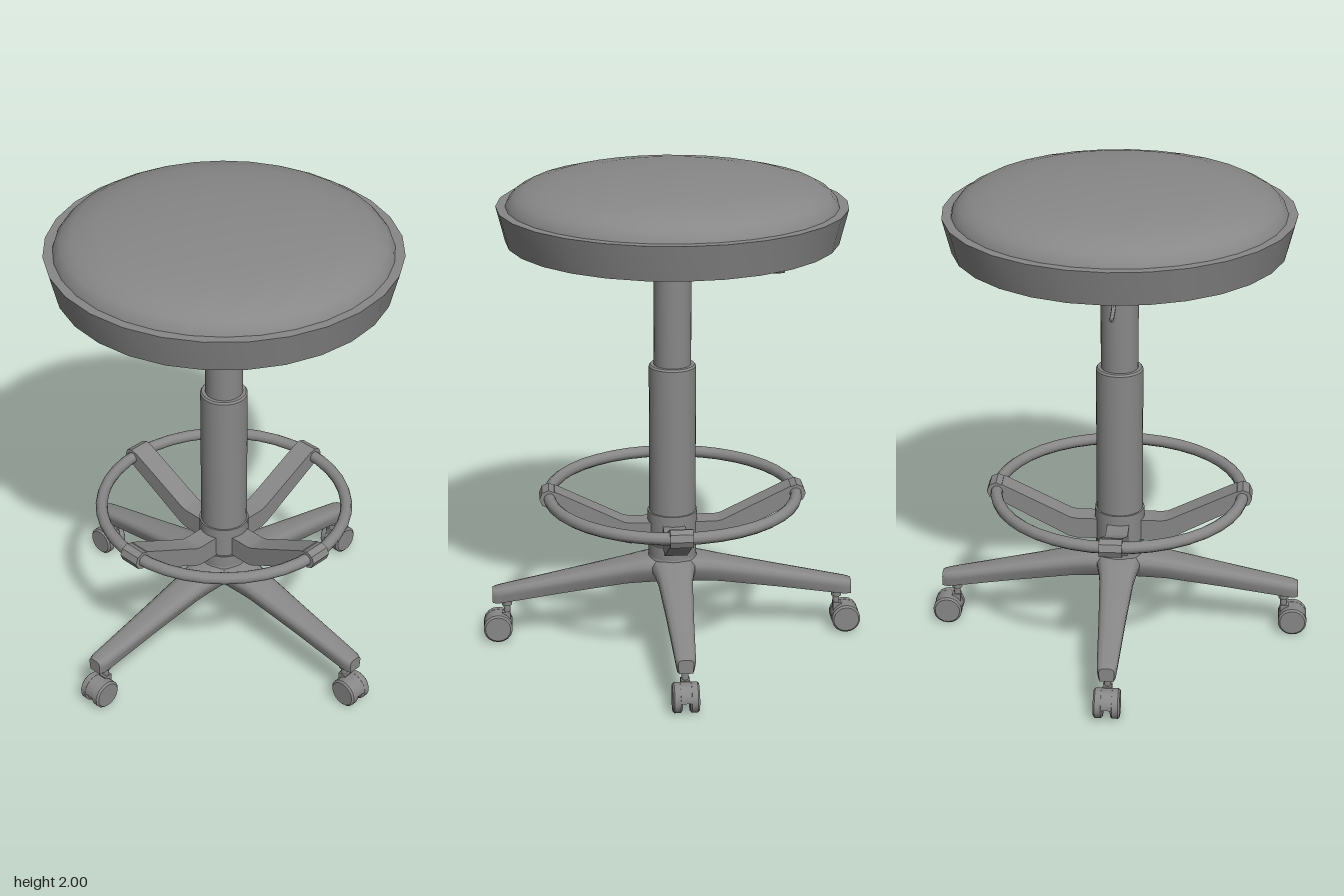
import * as THREE from 'three';
import { toCreasedNormals } from 'three/addons/utils/BufferGeometryUtils.js';

const grey = new THREE.MeshStandardMaterial({ color: 0x888888 });

function part(name, geometry, parent, crease = 0.6) {
  const mesh = new THREE.Mesh(toCreasedNormals(geometry, crease), grey);
  mesh.name = name;
  parent.add(mesh);
  return mesh;
}

// Turned part: profile of [radius, y] pairs from bottom to top
const turned = (profile, sides = 28) =>
  new THREE.LatheGeometry(profile.map(([r, y]) => new THREE.Vector2(r, y)), sides);

// Flat shape extruded along z and centred on z = 0
function slab(shape, depth) {
  return new THREE.ExtrudeGeometry(shape, { depth, bevelEnabled: false, curveSegments: 10 })
    .translate(0, 0, -depth / 2);
}

const polygon = (pts) => new THREE.Shape(pts.map(([x, y]) => new THREE.Vector2(x, y)));

// Base leg along +x, lofted through [x, top, bottom, half width, half width below]
function legGeometry() {
  const sections = [
    [0, 0.372, 0.266, 0.1, 0.056],
    [0.09, 0.367, 0.262, 0.096, 0.054],
    [0.14, 0.359, 0.258, 0.085, 0.049],
    [0.2, 0.346, 0.253, 0.076, 0.045],
    [0.45, 0.295, 0.217, 0.059, 0.039],
    [0.69, 0.246, 0.18, 0.046, 0.036],
    [0.735, 0.237, 0.173, 0.043, 0.034],
    [0.759, 0.231, 0.173, 0.033, 0.027],
  ];
  const rings = sections.map(([x, top, low, w, wl]) => {
    const h = top - low;
    const side = [[wl, low], [w * 0.92, low + h * 0.5], [w * 0.93, top - h * 0.24], [w * 0.74, top - h * 0.06], [w * 0.4, top]];
    const other = side.map(([z, y]) => [-z, y]).reverse();
    return [...side, ...other].map(([z, y]) => [x, y, z]);
  });
  const n = rings[0].length;
  const index = [];
  for (let i = 0; i < rings.length - 1; i++) {
    for (let j = 0; j < n; j++) {
      const k = (j + 1) % n;
      const a = i * n + j, b = i * n + k, c = a + n, d = b + n;
      index.push(a, c, b, b, c, d);
    }
  }
  const end = (rings.length - 1) * n;
  for (let j = 1; j < n - 1; j++) {
    index.push(0, j, j + 1, end, end + j + 1, end + j);
  }
  const g = new THREE.BufferGeometry();
  g.setAttribute('position', new THREE.Float32BufferAttribute(rings.flat(2), 3));
  g.setIndex(index);
  return g;
}

// Twin-wheel caster hanging below a leg tip
function addCaster(parent) {
  const caster = new THREE.Group();
  caster.name = 'caster';
  parent.add(caster);
  part('casterStem', turned([[0, 0.09], [0.014, 0.09], [0.014, 0.155], [0.022, 0.155], [0.022, 0.185], [0, 0.185]], 12), caster)
    .position.x = 0.7;
  const hood = new THREE.Shape();
  hood.absarc(0, 0, 0.06, 0, Math.PI, false);
  part('casterHood', slab(hood, 0.05), caster).position.set(0.739, 0.062, 0);
  part('casterNeck', new THREE.BoxGeometry(0.036, 0.05, 0.036), caster).position.set(0.704, 0.1, 0);
  for (const s of [-1, 1]) {
    const wheel = turned([[0, -0.019], [0.053, -0.019], [0.061, -0.012], [0.061, 0.012], [0.053, 0.019], [0, 0.019]], 18);
    part('casterWheel', wheel.rotateX(Math.PI / 2), caster).position.set(0.739, 0.062, s * 0.034);
  }
}

// Four-armed plate under the seat, arms spread a little towards front and back
function spiderGeometry() {
  const shape = new THREE.Shape();
  const at = (r, t, a) => [r * Math.cos(a) - t * Math.sin(a), r * Math.sin(a) + t * Math.cos(a)];
  for (let i = 0; i < 4; i++) {
    const a = Math.PI / 4 + i * Math.PI / 2;
    if (i === 0) shape.moveTo(...at(0.21, -0.036, a));
    shape.lineTo(...at(0.29, -0.036, a));
    shape.quadraticCurveTo(...at(0.335, -0.036, a), ...at(0.335, 0, a));
    shape.quadraticCurveTo(...at(0.335, 0.036, a), ...at(0.29, 0.036, a));
    shape.lineTo(...at(0.21, 0.036, a));
    const b = a + Math.PI / 2;
    shape.quadraticCurveTo(...at(0.1, 0, a + Math.PI / 4), ...at(0.21, -0.036, b));
  }
  return slab(shape, 0.024).rotateX(Math.PI / 2).scale(0.87, 1, 1.08);
}

export function createModel() {
  const stool = new THREE.Group();
  stool.name = 'stool';

  // Seat
  part('seatShell', turned([[0, 1.733], [0.59, 1.733], [0.59, 1.728], [0.668, 1.728], [0.703, 1.87], [0.66, 1.87], [0, 1.87]]), stool);
  part('cushion', turned([[0.667, 1.865], [0.66, 1.885], [0.635, 1.915], [0.59, 1.94], [0.5, 1.964], [0.38, 1.982], [0.2, 1.996], [0, 2]], 32), stool, 0.8);
  part('seatPlate', spiderGeometry(), stool).position.y = 1.724;
  part('seatPlateBoss', turned([[0, 1.703], [0.085, 1.703], [0.115, 1.714], [0, 1.714]]), stool);

  // Height lever
  const path = new THREE.CurvePath();
  const pts = [[-0.06, 1.755], [-0.14, 1.71], [-0.33, 1.596], [-0.352, 1.586], [-0.375, 1.584], [-0.448, 1.584]]
    .map(([x, y]) => new THREE.Vector3(x, y, 0));
  for (let i = 0; i < pts.length - 1; i++) path.add(new THREE.LineCurve3(pts[i], pts[i + 1]));
  part('heightLever', new THREE.TubeGeometry(path, 40, 0.009, 8), stool, 0.9);
  part('leverEnd', new THREE.SphereGeometry(0.009, 8, 6), stool, 1).position.copy(pts[5]);

  // Telescopic column
  part('upperColumn', turned([[0, 1.1], [0.077, 1.1], [0.077, 1.68], [0.084, 1.684], [0.084, 1.72], [0, 1.72]]), stool);
  part('lowerColumn', turned([[0, 0.33], [0.097, 0.33], [0.097, 1.195], [0.091, 1.203], [0, 1.203]]), stool);

  // Foot ring with its collars
  part('footRingCollar', turned([[0.09, 0.435], [0.104, 0.435], [0.104, 0.568], [0.09, 0.568]]), stool);
  part('lowerCollar', turned([[0.09, 0.37], [0.1, 0.37], [0.1, 0.425], [0.09, 0.425]]), stool);
  part('footRing', new THREE.TorusGeometry(0.515, 0.025, 10, 40).rotateX(Math.PI / 2), stool, 0.9).position.y = 0.64;
  const armShape = polygon([[0.06, 0.435], [0.18, 0.435], [0.212, 0.443], [0.532, 0.615], [0.49, 0.672], [0.205, 0.53], [0.18, 0.525], [0.06, 0.525]]);

  // Four-way base: each quarter holds a leg, a caster and a foot ring arm
  part('baseHub', turned([[0, 0.27], [0.06, 0.27], [0.09, 0.31], [0.108, 0.345], [0.1, 0.372], [0, 0.372]]), stool, 0.9);
  for (let i = 0; i < 4; i++) {
    const quarter = new THREE.Group();
    quarter.name = 'quarter';
    quarter.rotation.y = i * Math.PI / 2;
    stool.add(quarter);
    part('baseLeg', legGeometry(), quarter, 0.95);
    addCaster(quarter);
    part('footRingArm', slab(armShape, 0.092), quarter);
    part('footRingClamp', new THREE.CylinderGeometry(0.039, 0.039, 0.092, 8).rotateX(Math.PI / 2), quarter)
      .position.set(0.515, 0.64, 0);
  }
  return stool;
}
